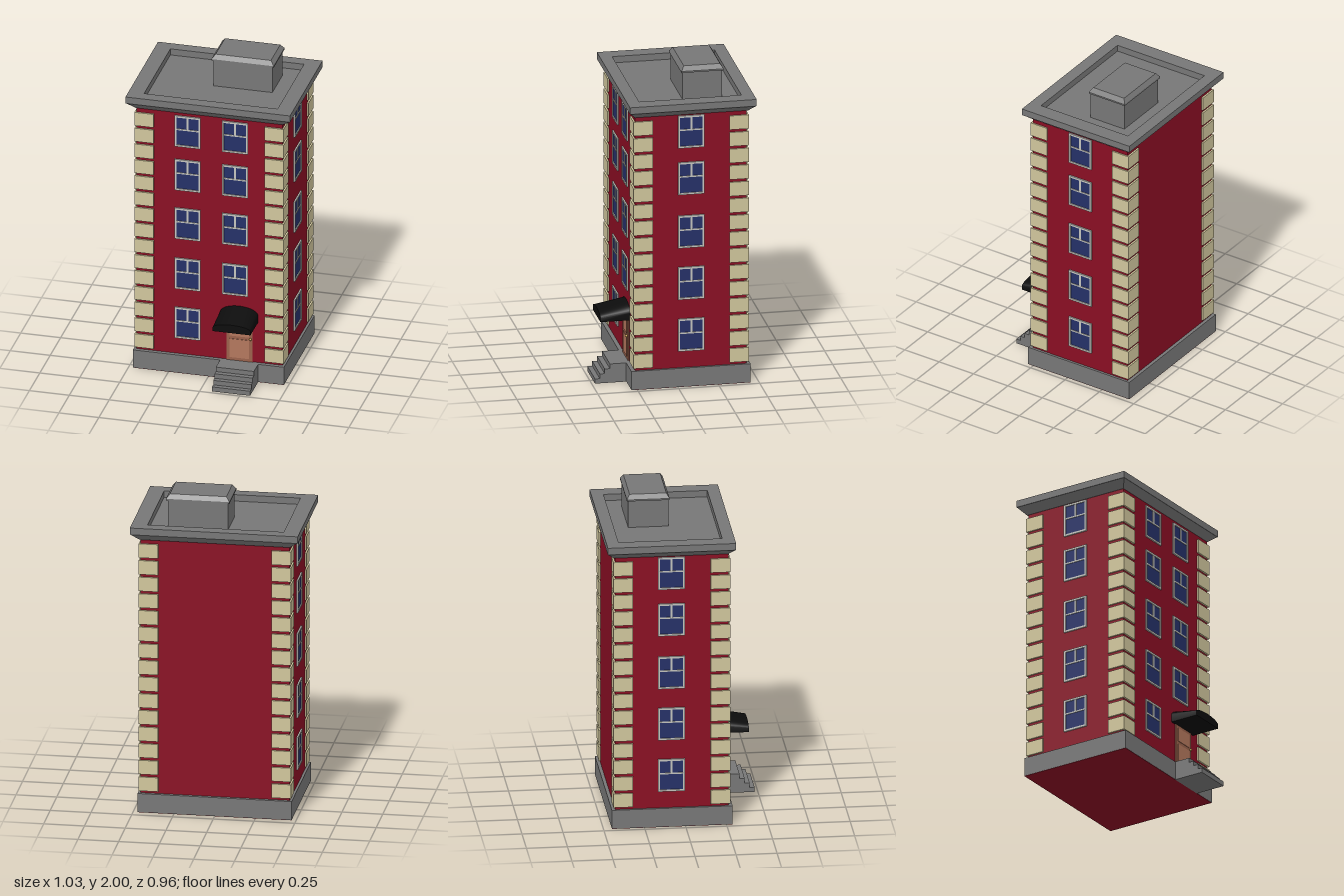
import * as THREE from 'three';
import { toCreasedNormals } from 'three/addons/utils/BufferGeometryUtils.js';

const material = (name, color) => {
  const m = new THREE.MeshStandardMaterial({ color });
  m.name = name;
  return m;
};

export function createModel() {
  const brick = material('brick red', 0x8a0e23);
  const stone = material('grey stone', 0x777777);
  const tan = material('tan quoin', 0xd0c69c);
  const glass = material('navy glass', 0x253068);
  const trim = material('window trim', 0xc4c4be);
  const black = material('black awning', 0x0c0c0c);
  const wood = material('door wood', 0x9a624c);
  const panelWood = material('door panel', 0xb3775d);
  const brass = material('brass', 0xc8a050);

  const building = new THREE.Group();
  building.name = 'building';
  const CZ = -0.083; // centre of the house in z
  const W = 0.458, D = 0.345; // wall half sizes

  const add = (name, geometry, mat, x, y, z, parent = building) => {
    const mesh = new THREE.Mesh(geometry, mat);
    mesh.name = name;
    mesh.position.set(x, y, z);
    parent.add(mesh);
    return mesh;
  };
  // Box given by its extents
  const box = (name, mat, x0, x1, y0, y1, z0, z1, parent) =>
    add(name, new THREE.BoxGeometry(x1 - x0, y1 - y0, z1 - z0), mat,
      (x0 + x1) / 2, (y0 + y1) / 2, (z0 + z1) / 2, parent);
  // Box whose top has a different size from its bottom
  const tapered = (w0, d0, w1, d1, h) => {
    const g = new THREE.BoxGeometry(1, h, 1).toNonIndexed();
    const p = g.attributes.position;
    for (let i = 0; i < p.count; i++) {
      const top = p.getY(i) > 0;
      p.setX(i, p.getX(i) * (top ? w1 : w0));
      p.setZ(i, p.getZ(i) * (top ? d1 : d0));
    }
    g.computeVertexNormals();
    return g;
  };
  const rect = (Target, x0, x1, y0, y1) => {
    const s = new Target();
    s.moveTo(x0, y0).lineTo(x1, y0).lineTo(x1, y1).lineTo(x0, y1).closePath();
    return s;
  };
  const extrude = (shape, depth) =>
    new THREE.ExtrudeGeometry(shape, { depth, bevelEnabled: false });

  // Walls and foundation
  box('walls', brick, -W, W, 0.1, 1.76, CZ - D, CZ + D);
  box('foundation', stone, -0.473, 0.473, 0.002, 0.12, CZ - 0.366, CZ + 0.37);
  box('undersidePlate', brick, -0.472, 0.472, 0, 0.002, CZ - 0.365, CZ + 0.369);

  // Corner quoins
  for (const sx of [-1, 1]) {
    for (const sz of [-1, 1]) {
      for (let i = 0; i < 15; i++) {
        add('quoin', new THREE.BoxGeometry(0.119, 0.089, 0.119), tan,
          sx * 0.408, 0.179 + i * 0.1068, CZ + sz * 0.2965);
      }
    }
  }

  // Cornice, parapet ring and sunken roof
  add('cornice', tapered(0.92, 0.7, 1.03, 0.782, 0.045), stone, 0, 1.7675, -0.087);
  const ring = rect(THREE.Shape, -0.515, 0.515, -0.391, 0.391);
  ring.holes.push(rect(THREE.Path, -0.418, 0.418, -0.316, 0.316));
  add('parapet', extrude(ring, 0.043), stone, 0, 1.788, -0.087).rotation.x = -Math.PI / 2;

  // Rooftop block with chamfered cap
  box('rooftopBlock', stone, -0.06, 0.31, 1.785, 1.965, -0.305, -0.06);
  box('rooftopCapLip', stone, -0.07, 0.32, 1.962, 1.972, -0.313, -0.053);
  add('rooftopCap', tapered(0.39, 0.26, 0.346, 0.224, 0.028), stone, 0.125, 1.986, -0.183);

  // Sash window, facing +z, centred on its own origin
  const makeWindow = () => {
    const w = 0.0815, h = 0.104;
    const g = new THREE.Group();
    g.name = 'window';
    const frame = rect(THREE.Shape, -w, w, -h, h);
    frame.holes.push(rect(THREE.Path, -w + 0.012, w - 0.012, -h + 0.012, h - 0.012));
    add('windowFrame', extrude(frame, 0.009), trim, 0, 0, 0, g);
    box('windowPane', glass, -w + 0.011, w - 0.011, -h + 0.011, h - 0.011, 0, 0.003, g);
    box('sashRail', trim, -w + 0.011, w - 0.011, 0.007, 0.016, 0, 0.007, g);
    box('sashMullion', trim, -0.006, 0.006, 0.016, h - 0.011, 0, 0.007, g);
    return g;
  };
  const placeWindow = (x, y, z, turn) => {
    const win = makeWindow();
    win.position.set(x, y, z);
    win.rotation.y = turn;
    building.add(win);
  };
  const frontRows = [0.33, 0.662, 1.0, 1.328, 1.623];
  const sideRows = [0.33, 0.662, 0.993, 1.335, 1.635];
  frontRows.forEach((y, i) => {
    placeWindow(-0.136, y, CZ + D, 0);
    if (i > 0) placeWindow(0.161, y, CZ + D, 0);
  });
  for (const y of sideRows) {
    for (const s of [-1, 1]) placeWindow(s * W, y, -0.085, s * Math.PI / 2);
  }

  // Door with two panels and a knob
  const F = CZ + D;
  box('door', wood, 0.108, 0.27, 0.12, 0.39, F - 0.01, F + 0.007);
  for (const [y0, y1] of [[0.14, 0.265], [0.285, 0.372]]) {
    box('doorPanel', panelWood, 0.128, 0.25, y0, y1, F, F + 0.01);
  }
  add('doorKnob', new THREE.SphereGeometry(0.008, 12, 8), brass, 0.26, 0.276, F + 0.014);

  // Front steps
  [0.48, 0.45, 0.42, 0.388].forEach((z, i) => {
    box('step', stone, 0.073, 0.311, 0.03 * i, 0.03 * (i + 1), 0.28, z);
  });

  // Arched awning, lower towards the street
  const arch = new THREE.Shape();
  arch.moveTo(-0.118, 0).lineTo(0.118, 0).lineTo(0.118, 0.045);
  arch.absellipse(0, 0.045, 0.118, 0.052, 0, Math.PI, false, 0);
  arch.closePath();
  const awning = new THREE.ExtrudeGeometry(arch, { depth: 0.185, bevelEnabled: false, curveSegments: 10 });
  const p = awning.attributes.position;
  for (let i = 0; i < p.count; i++) {
    if (p.getZ(i) > 0.1) p.setY(i, p.getY(i) * 0.55);
  }
  awning.computeVertexNormals();
  add('awning', toCreasedNormals(awning, 0.7), black, 0.186, 0.39, 0.26);

  return building;
}
